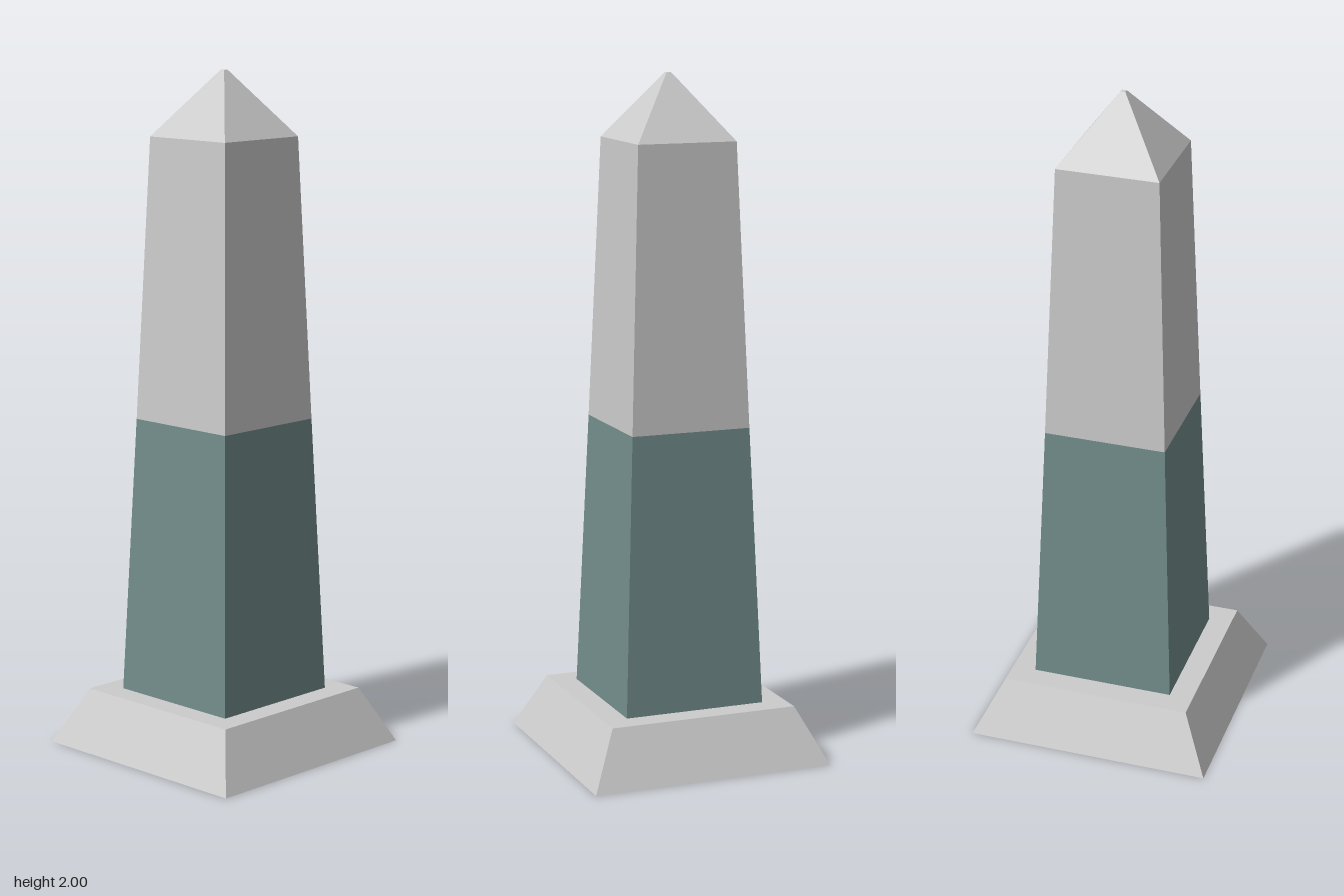
import * as THREE from 'three';

const stone = new THREE.MeshStandardMaterial({ color: 0xcccccc, flatShading: true });
const teal = new THREE.MeshStandardMaterial({ color: 0x738d8b, flatShading: true });

// Square tapered block between two heights, given its half widths
function taperedBlock(name, bottomHalf, topHalf, y0, y1, material) {
  const geometry = new THREE.CylinderGeometry(
    topHalf * Math.SQRT2, bottomHalf * Math.SQRT2, y1 - y0, 4, 1);
  geometry.rotateY(Math.PI / 4);
  geometry.translate(0, (y0 + y1) / 2, 0);
  const mesh = new THREE.Mesh(geometry, material);
  mesh.name = name;
  return mesh;
}

export function createModel() {
  const group = new THREE.Group();
  group.name = 'obelisk';
  group.add(
    // Sloped plinth
    taperedBlock('plinth', 0.365, 0.284, 0, 0.165, stone),
    // Shaft in two colours with one continuous taper
    taperedBlock('lowerShaft', 0.213, 0.181, 0.165, 0.985, teal),
    taperedBlock('upperShaft', 0.181, 0.15, 0.985, 1.81, stone),
    // Pyramid cap with a tiny flat tip
    taperedBlock('cap', 0.15, 0.007, 1.81, 2, stone),
  );
  return group;
}
